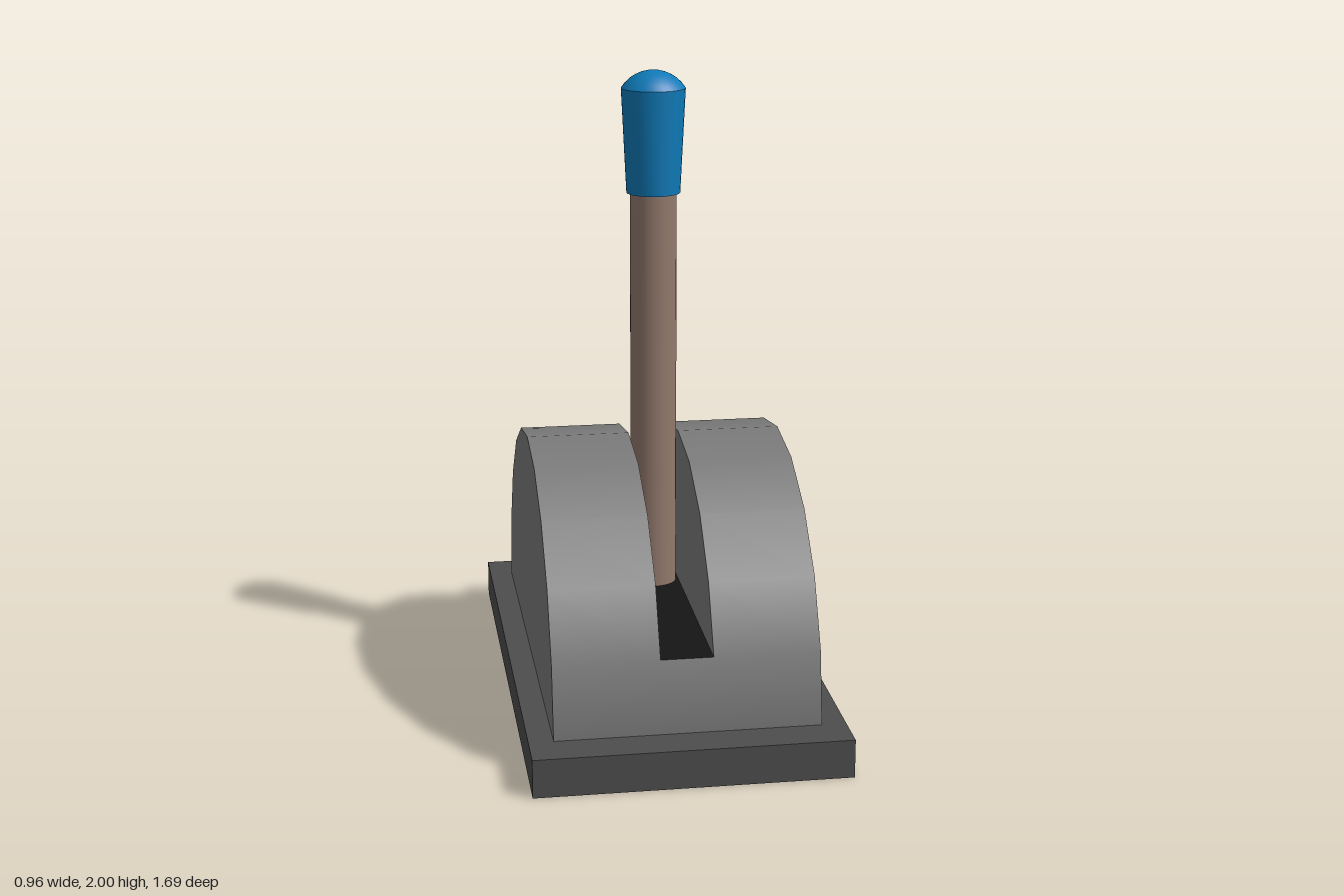
import * as THREE from 'three';
import { toCreasedNormals } from 'three/addons/utils/BufferGeometryUtils.js';

const BASE_H = 0.12;   // plinth height, also the drum's axis height
const R = 0.723;       // drum radius
const STEP = Math.PI / 10;
const HALF_W = 0.405;  // drum half width
const SLOT = 0.08;     // slot half width
const SLOT_Y = BASE_H + R * Math.sin(STEP);

const mat = (color, side = THREE.FrontSide) => new THREE.MeshStandardMaterial({ color, side });

export function createModel() {
  const model = new THREE.Group();
  model.name = 'lever';
  const add = (name, geometry, material, x = 0, y = 0, z = 0) => {
    const mesh = new THREE.Mesh(geometry, material);
    mesh.name = name;
    mesh.position.set(x, y, z);
    model.add(mesh);
    return mesh;
  };

  const baseMat = mat(0x4d4d4d);
  const drumMat = mat(0x7a7a7a);
  const sillMat = mat(0x7a7a7a, THREE.DoubleSide);
  const floorMat = mat(0x151515, THREE.DoubleSide);
  const shaftMat = mat(0x92796b);
  const gripMat = mat(0x0f7ab8);

  // Rectangular plinth
  add('base', new THREE.BoxGeometry(0.96, BASE_H, 1.69), baseMat, 0, BASE_H / 2, 0);

  // Part of a drum lying along x, from the front (0) over the top to the back (PI)
  const drumPart = (width, segments, open, start, length) =>
    new THREE.CylinderGeometry(R, R, width, segments, 1, open, start, length).rotateZ(Math.PI / 2);

  // Half-round cheeks either side of the slot
  for (const [name, s] of [['leftCheek', 1], ['rightCheek', -1]]) {
    add(name, drumPart(HALF_W - SLOT, 10, false, 0, Math.PI), drumMat, s * (HALF_W + SLOT) / 2, BASE_H, 0);
  }

  // Sills closing the slot at front and back, and its dark floor
  add('frontSill', drumPart(SLOT * 2, 1, true, 0, STEP), sillMat, 0, BASE_H, 0);
  add('backSill', drumPart(SLOT * 2, 1, true, Math.PI - STEP, STEP), sillMat, 0, BASE_H, 0);
  const floor = new THREE.PlaneGeometry(SLOT * 2, 2 * R * Math.cos(STEP)).rotateX(-Math.PI / 2);
  add('slotFloor', floor, floorMat, 0, SLOT_Y, 0);

  // Upright shaft
  const shaftTop = 1.64;
  add('shaft', new THREE.CylinderGeometry(0.073, 0.073, shaftTop - SLOT_Y, 32), shaftMat,
    0, (shaftTop + SLOT_Y) / 2, 0);

  // Tapered grip with a domed end
  const rim = 0.1, rimY = 1.945, rise = 2 - rimY;
  const domeR = (rim * rim + rise * rise) / (2 * rise);
  const domeAngle = Math.asin(rim / domeR);
  const profile = [new THREE.Vector2(0, 1.62), new THREE.Vector2(0.084, 1.62)];
  for (let i = 0; i <= 6; i++) {
    const a = domeAngle * (1 - i / 6);
    profile.push(new THREE.Vector2(domeR * Math.sin(a), 2 - domeR + domeR * Math.cos(a)));
  }
  add('grip', toCreasedNormals(new THREE.LatheGeometry(profile, 32), 0.35), gripMat);

  return model;
}
